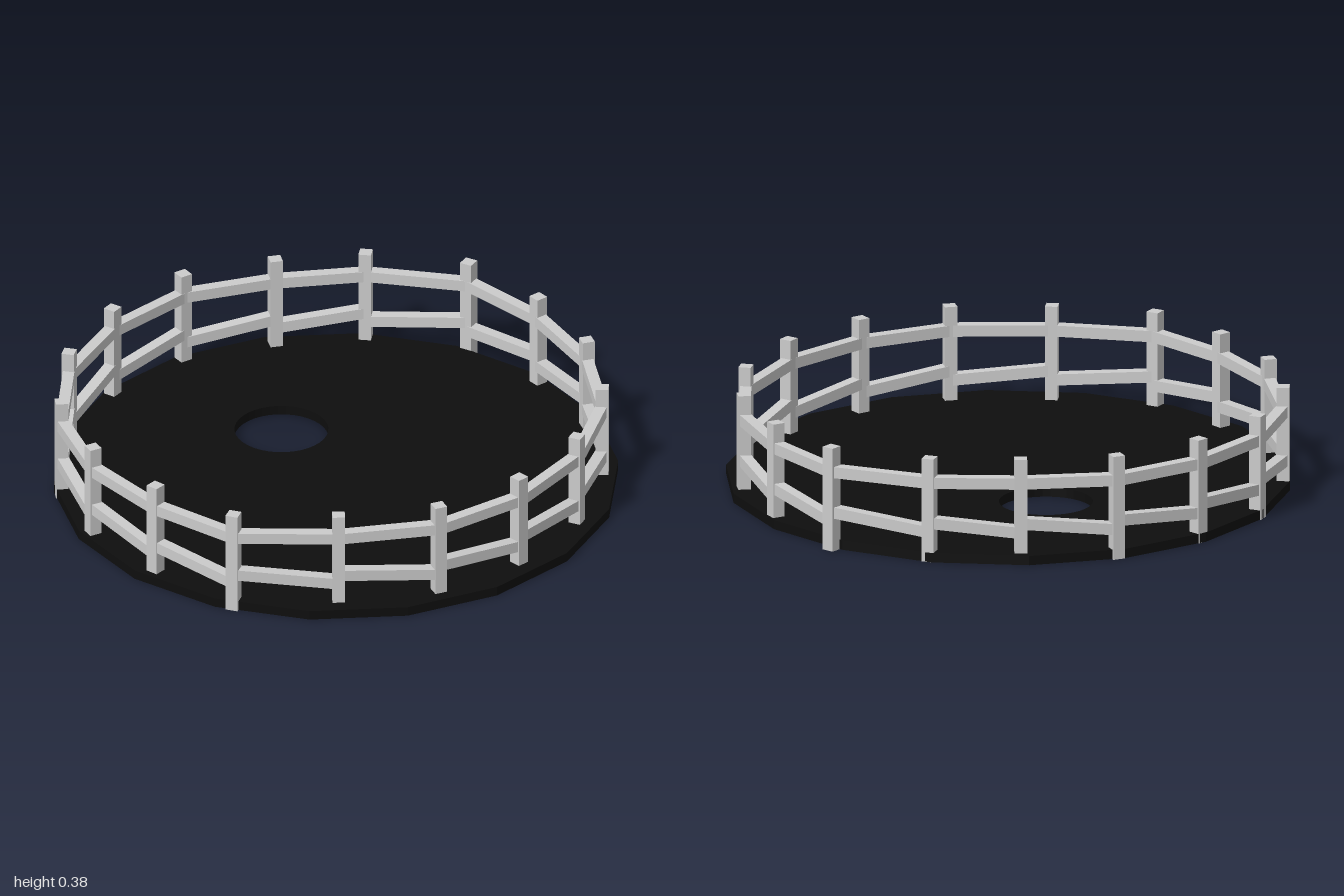
import * as THREE from 'three';

// Post positions [x, z], running counterclockwise seen from above
const POSTS = [
  [0.01, 0.91], [0.36, 0.845], [0.67, 0.66], [0.87, 0.38], [0.965, 0.04], [0.965, -0.31],
  [0.755, -0.615], [0.495, -0.805], [0.19, -0.96], [-0.16, -0.96], [-0.49, -0.845],
  [-0.76, -0.61], [-0.91, -0.3], [-0.945, 0.05], [-0.895, 0.39], [-0.635, 0.655], [-0.335, 0.855],
];
const POST = 0.045, HEIGHT = 0.38, RAIL = 0.041, FLOOR = 0.035;

export function createModel() {
  const group = new THREE.Group();
  const wood = new THREE.MeshStandardMaterial({ color: 0xcccccc, flatShading: true });
  const dark = new THREE.MeshStandardMaterial({ color: 0x0e0e0e, flatShading: true });

  // Eighteen-sided floor with an off-centre round hole
  const outline = new THREE.Shape();
  for (let i = 0; i < 18; i++) {
    const a = (i / 18) * Math.PI * 2;
    if (i === 0) outline.moveTo(1, 0);
    else outline.lineTo(Math.cos(a), Math.sin(a));
  }
  outline.closePath();
  const hole = new THREE.Path();
  hole.absarc(0.08, 0.355, 0.166, 0, Math.PI * 2, true);
  outline.holes.push(hole);
  const floorGeometry = new THREE.ExtrudeGeometry(outline, {
    depth: FLOOR - 0.001, bevelEnabled: false, curveSegments: 18,
  });
  floorGeometry.rotateX(-Math.PI / 2);
  const floor = new THREE.Mesh(floorGeometry, dark);
  floor.name = 'floor';
  floor.position.y = 0.001; // post ends show flush underneath
  group.add(floor);

  const fence = new THREE.Group();
  fence.name = 'fence';
  group.add(fence);

  // Square rail laid between two points
  function addRail(name, from, to) {
    const rail = new THREE.Mesh(new THREE.BoxGeometry(RAIL, RAIL, from.distanceTo(to)), wood);
    rail.name = name;
    rail.position.copy(from).lerp(to, 0.5);
    rail.lookAt(to);
    fence.add(rail);
  }

  const postGeometry = new THREE.BoxGeometry(POST, HEIGHT, POST);
  POSTS.forEach(([x, z], i) => {
    const post = new THREE.Mesh(postGeometry, wood);
    post.name = 'post';
    post.position.set(x, HEIGHT / 2, z);
    post.rotation.y = (i / POSTS.length) * Math.PI * 2;
    fence.add(post);

    // Level upper rail and sloping lower rail to the next post
    const [nx, nz] = POSTS[(i + 1) % POSTS.length];
    addRail('upperRail', new THREE.Vector3(x, 0.29, z), new THREE.Vector3(nx, 0.29, nz));
    addRail('lowerRail', new THREE.Vector3(x, 0.142, z), new THREE.Vector3(nx, 0.108, nz));
  });

  return group;
}
